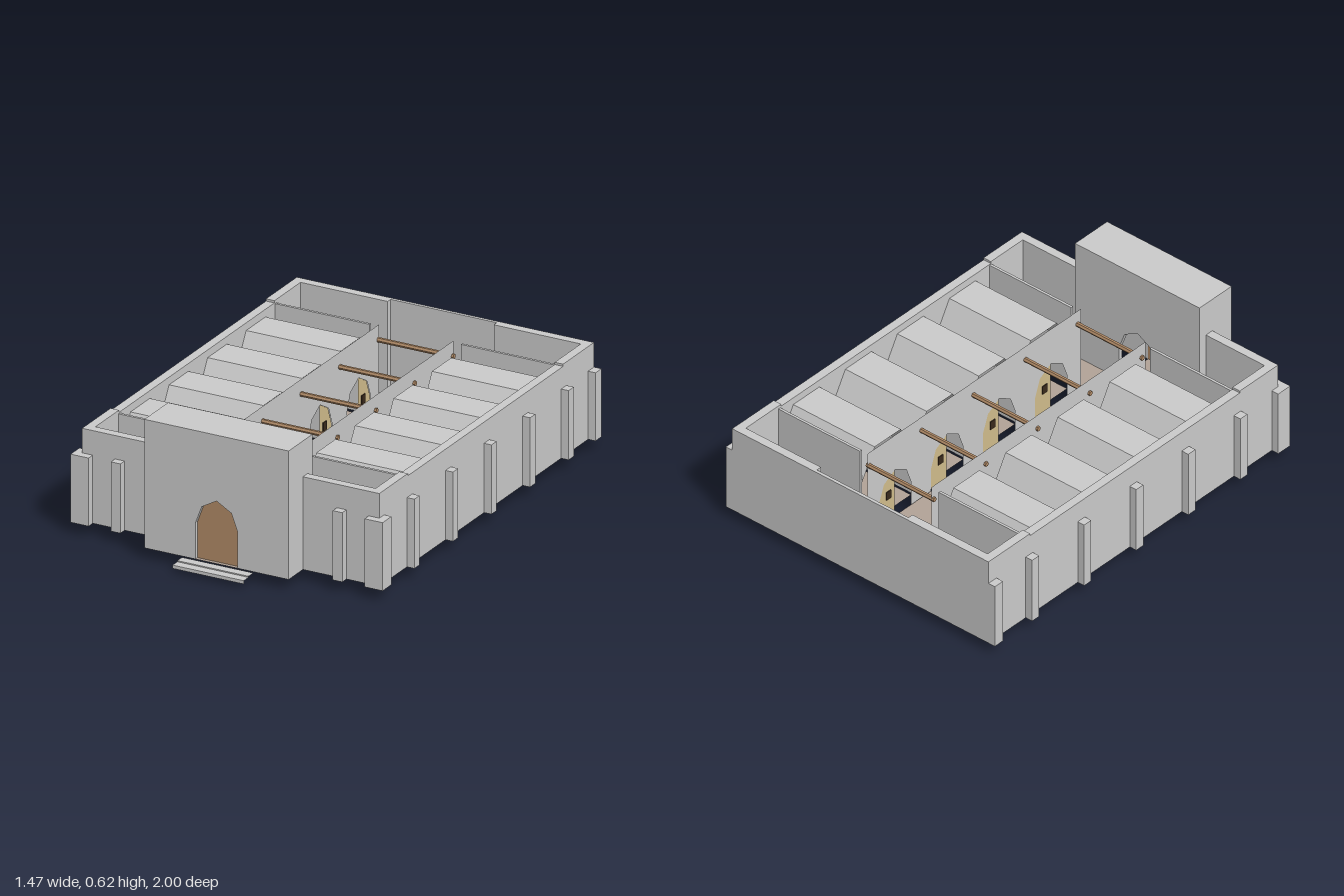
import * as THREE from 'three';

const mat = (color, side = THREE.FrontSide) =>
  new THREE.MeshStandardMaterial({ color, side, flatShading: true });
const stone = mat(0xcccccc);
const thinStone = mat(0xcccccc, THREE.DoubleSide);
const wood = mat(0xb08a66, THREE.DoubleSide);
const paving = mat(0xb3a498, THREE.DoubleSide);
const tan = mat(0xd2bd8c, THREE.DoubleSide);
const dark = mat(0x3a2a1c, THREE.DoubleSide);

const BEAMS = [0.555, 0.23, -0.095, -0.42, -0.745];
const PITCH = 0.325;

// Pointed arch outline, from left foot to right foot
const archPoints = (c, y) => [
  [c - 0.1, y], [c - 0.1, y + 0.16], [c - 0.07, y + 0.24], [c, y + 0.28],
  [c + 0.07, y + 0.24], [c + 0.1, y + 0.16], [c + 0.1, y],
];
const toShape = (pts) => new THREE.Shape(pts.map(([x, y]) => new THREE.Vector2(x, y)));

// Wall panel whose bottom edge is cut by arches at the given centres
function archedShape(x0, x1, y0, y1, centres) {
  const pts = [[x1, y0], [x1, y1], [x0, y1], [x0, y0]];
  for (const c of centres) pts.push(...archPoints(c, y0));
  return toShape(pts);
}

export function createModel() {
  const model = new THREE.Group();
  const add = (name, geometry, material, parent = model) => {
    const mesh = new THREE.Mesh(geometry, material);
    mesh.name = name;
    parent.add(mesh);
    return mesh;
  };
  // Box given by its limits on each axis
  const block = (name, x0, x1, y0, y1, z0, z1, material = stone) => {
    const g = new THREE.BoxGeometry(x1 - x0, y1 - y0, z1 - z0);
    g.translate((x0 + x1) / 2, (y0 + y1) / 2, (z0 + z1) / 2);
    return add(name, g, material);
  };
  const pair = (name, x0, x1, ...rest) => {
    block(name + 'Left', x0, x1, ...rest);
    block(name + 'Right', -x1, -x0, ...rest);
  };
  // Flat horizontal sheet
  const sheet = (name, x0, x1, z0, z1, y, material = paving) => {
    const g = new THREE.PlaneGeometry(x1 - x0, z1 - z0).rotateX(-Math.PI / 2);
    g.translate((x0 + x1) / 2, y, (z0 + z1) / 2);
    return add(name, g, material);
  };

  // Outer walls, a little higher around the end halls
  pair('sideWall', 0.66, 0.70, 0.05, 0.455, -0.74, 0.57);
  pair('frontHallSideWall', 0.66, 0.70, 0.05, 0.465, 0.57, 0.81);
  pair('backHallSideWall', 0.66, 0.70, 0.05, 0.465, -1, -0.74);
  pair('frontWall', 0.34, 0.66, 0.05, 0.465, 0.77, 0.81);
  pair('backWall', 0.25, 0.66, 0.05, 0.465, -1, -0.96);
  block('nicheWall', -0.25, 0.25, 0.05, 0.465, -1, -0.985);

  // Buttresses
  for (const z of BEAMS) pair('sideButtress', 0.70, 0.735, 0.05, 0.36, z - 0.022, z + 0.022);
  pair('frontButtress', 0.5, 0.545, 0.05, 0.36, 0.81, 0.845);
  pair('frontCornerButtress', 0.65, 0.735, 0.05, 0.355, 0.77, 0.845);
  pair('backCornerButtress', 0.70, 0.735, 0.05, 0.355, -1, -0.95);

  // Entrance tower: arched front and back, plain sides and top
  const towerFace = new THREE.ExtrudeGeometry(
    archedShape(-0.34, 0.34, 0.05, 0.605, [0]), { depth: 0.02, bevelEnabled: false });
  add('towerFront', towerFace, stone).position.z = 0.91;
  add('towerBack', towerFace, stone).position.z = 0.73;
  pair('towerSide', 0.32, 0.34, 0.05, 0.605, 0.75, 0.91);
  block('towerRoof', -0.34, 0.34, 0.605, 0.625, 0.73, 0.93);
  add('entranceDoor', new THREE.ShapeGeometry(toShape(archPoints(0, 0.05))), wood).position.z = 0.912;
  sheet('towerFloor', -0.1, 0.1, 0.765, 0.93, 0.05);

  // Entrance steps: treads and risers
  [[0.92, 0.96, 0.04, 0.035], [0.96, 1.0, 0.035, 0.02]].forEach(([z0, z1, top, low]) => {
    sheet('stepTread', -0.168, 0.168, z0, z1, top, thinStone);
    const riser = new THREE.PlaneGeometry(0.336, top - low).translate(0, (top + low) / 2, z1);
    add('stepRiser', riser, thinStone);
  });

  // Floors of the halls and the corridor, and the raised sanctuary floor
  sheet('frontHallFloor', -0.66, 0.66, 0.575, 0.77, 0.05);
  sheet('corridorFloor', -0.17, 0.17, -0.765, 0.575, 0.05);
  sheet('backHallFloor', -0.66, 0.66, -0.96, -0.765, 0.05);
  block('sanctuaryFloor', -0.25, 0.25, 0.042, 0.056, -0.985, -0.81);
  block('sanctuaryStep', -0.125, 0.125, 0.042, 0.056, -0.81, -0.715);

  // Corridor walls with an arched doorway to each room
  const bays = BEAMS.slice(1).map((z) => z + PITCH / 2).reverse();
  const corridorWall = new THREE.ShapeGeometry(archedShape(-0.755, 0.58, 0, 0.455, bays))
    .rotateY(-Math.PI / 2);
  // Half-width door leaf filling one side of an arch
  const leaf = new THREE.ShapeGeometry(toShape(archPoints(0, 0).slice(0, 4).concat([[0, 0.05]])
    .map(([x, y]) => [x, Math.max(y, 0.05)]))).rotateY(-Math.PI / 2);

  // Half-hexagon vault profile swept across a room
  const r = PITCH / 2;
  const vault = new THREE.CylinderGeometry(r, r, 0.445, 3, 1, true, 0, Math.PI)
    .rotateZ(Math.PI / 2).rotateY(0);
  vault.computeBoundingBox();
  // Turn the arc so that its crown points up
  if (vault.boundingBox.max.y < 0.01) vault.rotateX(Math.PI);

  for (const s of [-1, 1]) {
    add('corridorWall', corridorWall, thinStone).position.x = s * 0.175;
    for (const z of bays) {
      add('roomVault', vault, thinStone).position.set(s * 0.4375, 0.28, z);
      const x0 = s > 0 ? 0.215 : -0.66;
      sheet('roomFloor', x0, x0 + 0.445, z - 0.145, z + 0.145, 0.05);
      add('roomDoor', leaf, tan).position.set(s * 0.178, 0, z);
      const hatch = new THREE.BoxGeometry(0.008, 0.04, 0.03);
      add('doorHatch', hatch, dark).position.set(s * 0.178, 0.17, z - 0.04);
    }
  }
  // Dividing walls between rooms, and partitions towards the halls
  for (const z of BEAMS.slice(1, 4)) pair('roomDivider', 0.215, 0.66, 0.05, 0.28, z - 0.008, z + 0.008);
  pair('frontPartition', 0.215, 0.66, 0.05, 0.45, 0.563, 0.575);
  pair('backPartition', 0.215, 0.66, 0.05, 0.45, -0.757, -0.745);

  // Round tie beams across the corridor
  const beam = new THREE.CylinderGeometry(0.011, 0.011, 0.37, 6).rotateZ(Math.PI / 2);
  for (const z of BEAMS) add('tieBeam', beam, wood).position.set(0, 0.39, z);

  // Small furnishings in the back hall
  for (let i = 0; i < 4; i++) {
    const crate = new THREE.BoxGeometry(0.042, 0.025, 0.024);
    add('crate', crate, tan).position.set(-0.495 + i * 0.047, 0.063, -0.915 + (i % 2) * 0.005);
  }
  block('looseCrate', -0.575, -0.55, 0.05, 0.075, -0.87, -0.815, tan);
  const cone = new THREE.ConeGeometry(0.035, 0.05, 3);
  add('altar', cone, dark).position.set(0, 0.08, -0.9);
  const stool = add('stool', cone, wood);
  stool.position.set(0.41, 0.075, -0.9);
  stool.rotation.y = 0.5;
  return model;
}
